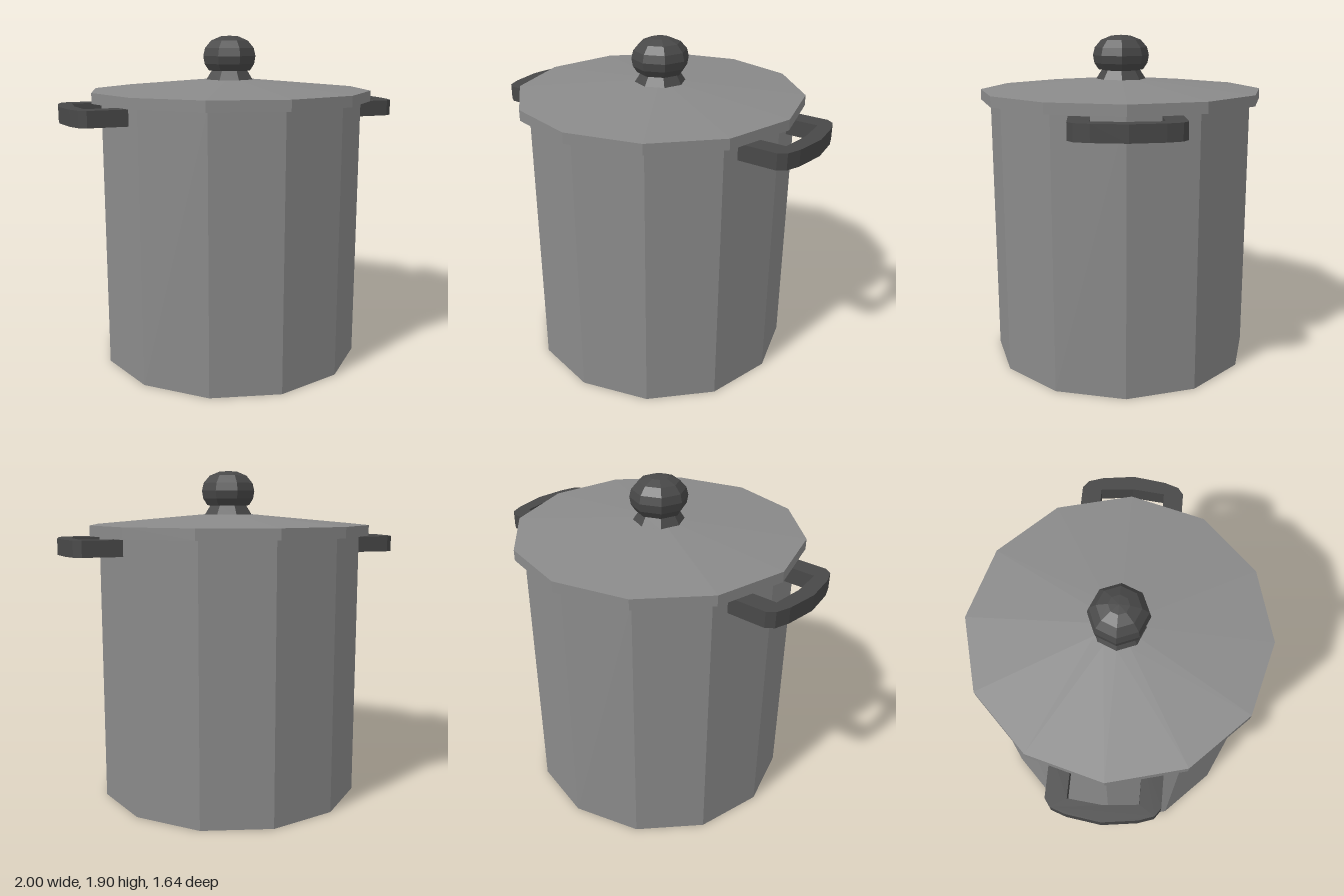
import * as THREE from 'three';

const steel = new THREE.MeshStandardMaterial({ color: 0x8a8a8a, flatShading: true });
const dark = new THREE.MeshStandardMaterial({ color: 0x484848, flatShading: true });

// Faceted turned part from [radius, height] points, listed bottom to top
function turned(name, points, sides, material) {
  const profile = points.map(([r, y]) => new THREE.Vector2(r, y));
  const mesh = new THREE.Mesh(new THREE.LatheGeometry(profile, sides), material);
  mesh.name = name;
  return mesh;
}

// Flat loop handle: half outline mirrored across its middle, then extruded upwards
function handleGeometry() {
  const outer = [[0.66, 0.29], [0.905, 0.29], [0.947, 0.26], [0.975, 0.18], [1, 0]];
  const inner = [[0.915, 0], [0.897, 0.18], [0.66, 0.18]];
  const half = [...outer, ...inner];
  const mirrored = (list) => list.filter(([, z]) => z > 0).reverse().map(([x, z]) => [x, -z]);
  const outline = [...outer, ...mirrored(outer), ...mirrored(inner), ...inner.slice(0, 1), ...inner.slice(1)];
  // the inner edge runs back from the lower end to the upper end
  const shape = new THREE.Shape(outline.map(([x, z]) => new THREE.Vector2(x, z)));
  const geometry = new THREE.ExtrudeGeometry(shape, { depth: 0.09, bevelEnabled: false });
  return geometry.rotateX(-Math.PI / 2).translate(0, 1.43, 0);
}

export function createModel() {
  const pot = new THREE.Group();
  pot.name = 'cookingPot';

  // Twelve-sided body
  const body = new THREE.Mesh(new THREE.CylinderGeometry(0.765, 0.765, 1.54, 12), steel);
  body.position.y = 0.77;
  body.name = 'body';
  pot.add(body);

  // Overhanging lid with a short rim and a shallow cone
  pot.add(turned('lid', [[0, 1.53], [0.82, 1.53], [0.82, 1.59], [0.14, 1.65], [0, 1.65]], 12, steel));

  // Eight-sided knob: flared foot and ball
  pot.add(turned('knob', [
    [0.148, 1.645], [0.112, 1.7], [0.13, 1.703], [0.155, 1.74], [0.163, 1.785],
    [0.152, 1.83], [0.115, 1.872], [0.055, 1.896], [0, 1.9],
  ], 8, dark));

  // Side handles
  const geometry = handleGeometry();
  for (const [name, turn] of [['leftHandle', 0], ['rightHandle', Math.PI]]) {
    const handle = new THREE.Mesh(geometry, dark);
    handle.rotation.y = turn;
    handle.name = name;
    pot.add(handle);
  }
  return pot;
}
